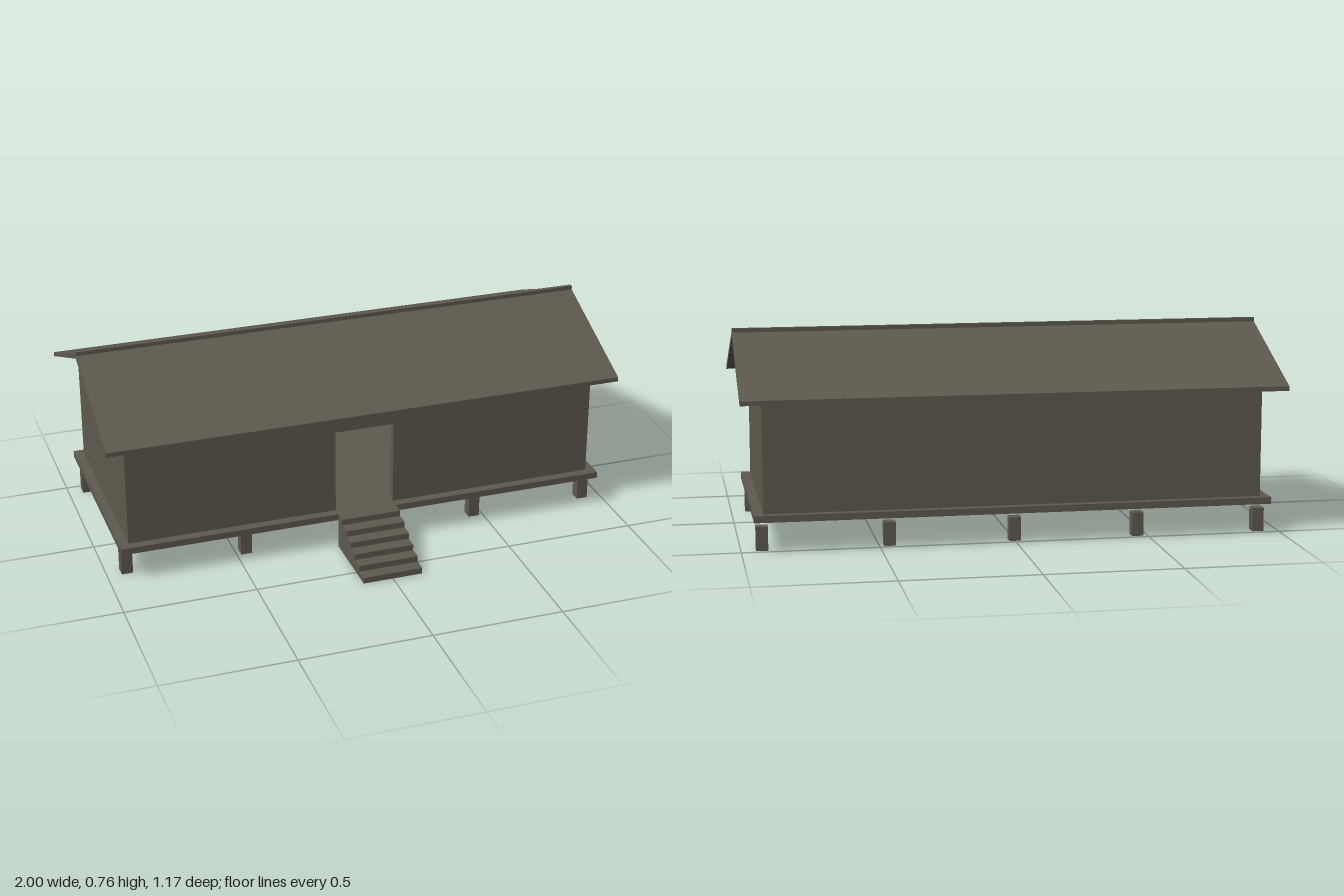
import * as THREE from 'three';

const timber = new THREE.MeshStandardMaterial({ color: 0x5e594d });
timber.name = 'weathered timber';

const MID = -0.125; // z of the ridge line
const WALL = 0.03; // wall thickness
const FLOOR = 0.14;

function add(parent, name, geometry, x = 0, y = 0, z = 0) {
  const mesh = new THREE.Mesh(geometry, timber);
  mesh.name = name;
  mesh.position.set(x, y, z);
  parent.add(mesh);
  return mesh;
}

function box(parent, name, w, h, d, x, y, z) {
  return add(parent, name, new THREE.BoxGeometry(w, h, d), x, y + h / 2, z);
}

// Extrudes a [z, y] outline along x, centred on x = 0
function extrudeAlongX(points, width) {
  const shape = new THREE.Shape(points.map(([z, y]) => new THREE.Vector2(-z, y)));
  const geometry = new THREE.ExtrudeGeometry(shape, { depth: width, bevelEnabled: false });
  return geometry.translate(0, 0, -width / 2).rotateY(Math.PI / 2);
}

export function createModel() {
  const house = new THREE.Group();
  house.name = 'house';

  // Short stilts in two rows of five
  const stilts = new THREE.Group();
  stilts.name = 'stilts';
  house.add(stilts);
  for (const z of [0.214, -0.461]) {
    for (let i = -2; i <= 2; i++) box(stilts, 'stilt', 0.043, 0.088, 0.043, i * 0.462, 0, z);
  }

  // Floor deck
  box(house, 'deck', 1.91, 0.025, 0.835, 0, 0.115, MID + 0.0025);

  // Hollow walls with an open doorway in the front
  const walls = new THREE.Group();
  walls.name = 'walls';
  house.add(walls);
  const front = new THREE.Shape([
    [-0.92, FLOOR], [-0.115, FLOOR], [-0.115, 0.468], [0.115, 0.468],
    [0.115, FLOOR], [0.92, FLOOR], [0.92, 0.577], [-0.92, 0.577],
  ].map(([x, y]) => new THREE.Vector2(x, y)));
  add(walls, 'frontWall',
    new THREE.ExtrudeGeometry(front, { depth: WALL, bevelEnabled: false }), 0, 0, 0.26 - WALL);
  box(walls, 'backWall', 1.84, 0.437, WALL, 0, FLOOR, -0.51 + WALL / 2);
  const h = 0.385 - WALL;
  const gable = extrudeAlongX([
    [MID - h, FLOOR], [MID - h, 0.588], [MID, 0.735], [MID + h, 0.588], [MID + h, FLOOR],
  ], WALL);
  for (const side of [-1, 1]) add(walls, 'gableWall', gable, side * (0.92 - WALL / 2));

  // Pitched roof with overhanging eaves and a ridge strip
  add(house, 'roof', extrudeAlongX([
    [MID + 0.46, 0.545], [MID + 0.46, 0.562], [MID, 0.75], [MID - 0.46, 0.562],
    [MID - 0.46, 0.545], [MID, 0.733],
  ], 2));
  box(house, 'ridgeStrip', 2, 0.018, 0.016, 0, 0.744, MID);

  // Solid flight of six steps up to the doorway
  const back = 0.293, tread = 0.0487, rise = FLOOR / 6;
  const profile = [[back, 0], [back, FLOOR]];
  for (let i = 6; i >= 1; i--) {
    const z = back + (7 - i) * tread;
    profile.push([z, i * rise], [z, (i - 1) * rise]);
  }
  add(house, 'steps', extrudeAlongX(profile, 0.23));

  return house;
}
